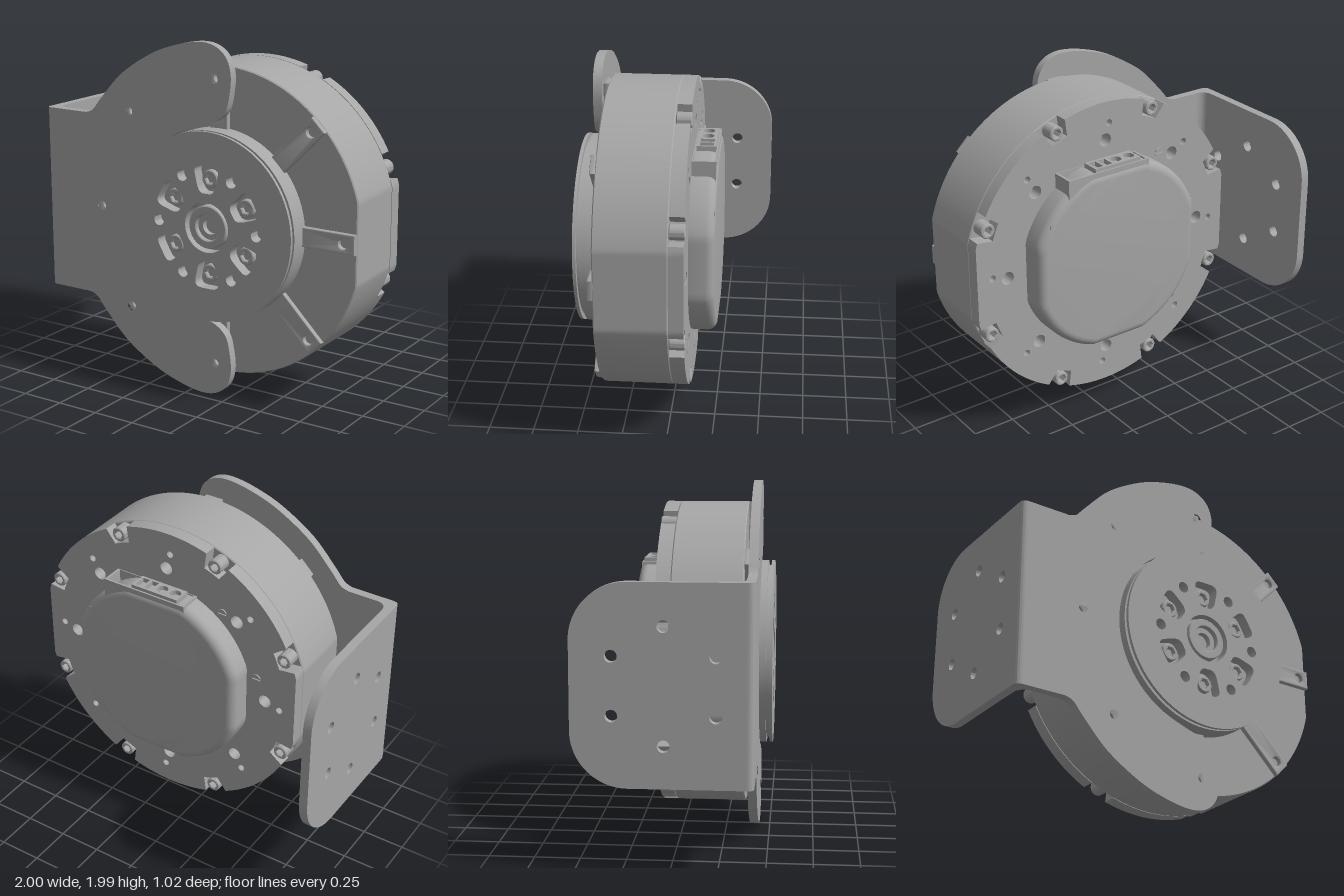
import * as THREE from 'three';
import { toCreasedNormals } from 'three/addons/utils/BufferGeometryUtils.js';

const CX = 0.16, CY = 0.995;
const metal = new THREE.MeshStandardMaterial({ color: 0xa6a6a6 });
metal.name = 'plain grey metal';

const V = (x, y) => new THREE.Vector2(x, y);
const polar = (r, deg) => V(r * Math.cos(deg * Math.PI / 180), r * Math.sin(deg * Math.PI / 180));
const hole = (x, y, r) => new THREE.Path().absarc(x, y, r, 0, Math.PI * 2, true);
const disc = (r, holes = []) => {
  const s = new THREE.Shape().absarc(0, 0, r, 0, Math.PI * 2, false);
  s.holes.push(...holes);
  return s;
};

// Flat part extruded between two z levels, with an optional rounded edge
function slab(shape, z0, z1, bevel = 0, segments = 2) {
  const g = new THREE.ExtrudeGeometry(shape, {
    depth: z1 - z0 - 2 * bevel, curveSegments: 40, bevelEnabled: bevel > 0,
    bevelSize: bevel, bevelThickness: bevel, bevelOffset: -bevel, bevelSegments: segments,
  });
  g.translate(0, 0, z0 + bevel);
  return toCreasedNormals(g, 0.5);
}

function add(parent, name, geometry) {
  const m = new THREE.Mesh(geometry, metal);
  m.name = name;
  parent.add(m);
  return m;
}

// Round outline with flats left and right, and optional rim notches for the bolts
function bodyOutline(notched) {
  const pts = [];
  for (let a = 0; a < 360; a += 1.25) {
    const r = Math.min(0.87, 0.84 / Math.abs(Math.cos(a * Math.PI / 180)));
    const inNotch = notched && Math.abs(((a + 22.5) % 45) - 0) < 4 || notched && 45 - ((a + 22.5) % 45) < 4;
    pts.push(polar(inNotch ? 0.775 : r, a));
  }
  return new THREE.Shape(pts);
}

// Bolt head with a hexagonal socket, facing +z
function bolt(parent, name, r, height) {
  const g = new THREE.Group();
  g.name = name;
  const hex = new THREE.Path([0, 1, 2, 3, 4, 5].map(i => polar(r * 0.55, -i * 60)));
  add(g, 'boltHead', slab(disc(r, [hex]), 0, height, r * 0.12, 1));
  add(g, 'socketFloor', new THREE.CircleGeometry(r * 0.9, 20)).position.z = height * 0.35;
  parent.add(g);
  return g;
}

// Rounded trapezoid pocket around a face bolt
function pocket(deg) {
  const corners = [[0.19, -0.05], [0.345, -0.085], [0.345, 0.085], [0.19, 0.05]].map(([u, v]) => V(u, v));
  const pts = [];
  corners.forEach((c, i) => {
    const a = c.clone().lerp(corners[(i + 3) % 4], 0.32), b = c.clone().lerp(corners[(i + 1) % 4], 0.32);
    pts.push(...new THREE.QuadraticBezierCurve(a, c, b).getPoints(6));
  });
  return new THREE.Path(pts.map(p => p.rotateAround(V(0, 0), deg * Math.PI / 180)));
}

const ribHoleRadius = deg => (deg % 180 === 0 ? 0.77 : 0.805);

function buildMotor() {
  const motor = new THREE.Group();
  motor.name = 'motor';
  motor.position.set(CX, CY, 0);

  // Body drum and notched, drilled back plate
  add(motor, 'bodyDrum', slab(bodyOutline(false), -0.03, 0.362, 0.006, 1));
  const back = bodyOutline(true);
  for (let a = 0; a < 360; a += 45) {
    const p = polar(0.65, a), q = polar(0.745, a + 2);
    back.holes.push(hole(p.x, p.y, 0.038), hole(q.x, q.y, 0.02));
  }
  add(motor, 'backPlate', slab(back, -0.11, -0.03));

  // Rim bolts facing the back
  for (let a = 22.5; a < 360; a += 45) {
    const b = bolt(motor, 'rimBolt', 0.042, 0.085), p = polar(0.825, a);
    b.position.set(p.x, p.y, -0.03);
    b.rotation.y = Math.PI;
  }

  // Small slotted screws beside the rear cap
  for (const a of [127, 167]) {
    const p = polar(0.61, a);
    for (const s of [-1, 1]) {
      const half = new THREE.Shape().absarc(0, 0, 0.026, 0.2, Math.PI - 0.2, false);
      const m = add(motor, 'slottedScrew', slab(half, -0.118, -0.1));
      m.position.set(p.x, p.y, 0);
      m.rotation.z = s > 0 ? 0 : Math.PI;
    }
  }

  // Raised front ribs with mounting holes
  for (let a = 0; a < 360; a += 45) {
    const end = a % 180 === 0 ? 0.838 : 0.866;
    const s = new THREE.Shape([V(0.48, -0.055), V(end, -0.055), V(end, 0.055), V(0.48, 0.055)]);
    s.holes.push(hole(ribHoleRadius(a), 0, 0.028));
    add(motor, 'frontRib', slab(s, 0.35, 0.39, 0.008, 2)).rotation.z = a * Math.PI / 180;
  }

  // Output hub: solid base, then drilled layers with a groove between them
  const holes = () => {
    const list = [hole(0, 0, 0.14)];
    for (let i = 0; i < 6; i++) {
      const p = polar(0.315, i * 60);
      list.push(hole(p.x, p.y, 0.032), pocket(30 + i * 60));
    }
    return list;
  };
  add(motor, 'hubBase', slab(disc(0.53), 0.35, 0.445));
  add(motor, 'hubRing', slab(disc(0.53, holes()), 0.445, 0.476));
  add(motor, 'hubNeck', slab(disc(0.5, holes()), 0.476, 0.494));
  add(motor, 'hubFace', slab(disc(0.53, holes()), 0.494, 0.512));
  for (let i = 0; i < 6; i++) {
    const p = polar(0.265, 30 + i * 60);
    bolt(motor, 'hubBolt', 0.05, 0.035).position.set(p.x, p.y, 0.445);
  }

  // Stepped rings in the hub centre
  add(motor, 'centreRing', slab(disc(0.12, [hole(0, 0, 0.075)]), 0.445, 0.505, 0.005, 1));
  add(motor, 'centreCollar', slab(disc(0.075, [hole(0, 0, 0.045)]), 0.445, 0.478));

  // Rounded rear cap
  const capPts = [];
  for (let a = 0; a < 360; a += 3) {
    const p = polar(0.56, a);
    capPts.push(V(THREE.MathUtils.clamp(p.x, -0.53, 0.53), THREE.MathUtils.clamp(p.y, -0.533, 0.53)));
  }
  add(motor, 'rearCap', slab(new THREE.Shape(capPts), -0.25, -0.03, 0.05, 5));
  const pin = add(motor, 'capPin', new THREE.CylinderGeometry(0.025, 0.025, 0.12, 20));
  pin.rotation.x = Math.PI / 2;
  pin.position.set(0.43, 0.29, -0.185);

  // Cable connector and its surrounding hood on top of the cap
  const upright = (shape, y0, y1) => slab(shape, y0, y1).rotateX(-Math.PI / 2);
  const rect = (C, x0, x1, y0, y1) => new C([V(x0, y0), V(x1, y0), V(x1, y1), V(x0, y1)]);
  const block = rect(THREE.Shape, -0.15, 0.15, 0.125, 0.232);
  block.holes.push(hole(-0.105, 0.178, 0.032), hole(-0.02, 0.178, 0.032),
    rect(THREE.Path, 0.03, 0.075, 0.14, 0.217), rect(THREE.Path, 0.09, 0.135, 0.14, 0.217));
  add(motor, 'connector', upright(block, 0.45, 0.557));
  for (const x of [-0.105, -0.02]) {
    add(motor, 'connectorPin', new THREE.CylinderGeometry(0.016, 0.016, 0.08, 12)).position.set(x, 0.5, -0.178);
  }
  const hood = rect(THREE.Shape, -0.2, 0.33, 0.1, 0.242);
  hood.holes.push(rect(THREE.Path, -0.185, 0.315, 0.115, 0.23));
  add(motor, 'connectorHood', upright(hood, 0.42, 0.537));
  return motor;
}

function buildBracket() {
  const bracket = new THREE.Group();
  bracket.name = 'bracket';

  // Front plate: upper half traced, then mirrored
  const edge = [[-0.71, 1.53], [-0.66, 1.55], [-0.6, 1.62], [-0.45, 1.775], [-0.25, 1.9], [-0.08, 1.963],
    [0.07, 1.99], [0.17, 1.975], [0.24, 1.92], [0.27, 1.83], [0.262, 1.72], [0.235, 1.625], [0.17, 1.57],
    [0.08, 1.54], [-0.025, 1.503]].map(p => V(...p));
  const upper = [V(-0.88, 1.53), ...new THREE.SplineCurve(edge).getPoints(70)];
  for (let a = 114; a < 180; a += 4) upper.push(polar(0.54, a).add(V(CX, CY)));
  const lower = upper.map(p => V(p.x, 2 * CY - p.y)).reverse();
  const plate = new THREE.Shape([...upper, ...lower]);
  for (const a of [90, 135, 180, 225, 270]) {
    const p = polar(ribHoleRadius(a), a);
    plate.holes.push(hole(CX + p.x, CY + p.y, 0.028));
  }
  add(bracket, 'frontPlate', slab(plate, 0.39, 0.44));

  // Rounded bend
  const bend = new THREE.Shape();
  bend.moveTo(-0.88, -0.44);
  bend.lineTo(-0.88, -0.39);
  bend.quadraticCurveTo(-0.95, -0.39, -0.95, -0.32);
  bend.lineTo(-1, -0.32);
  bend.lineTo(-1, -0.4);
  bend.quadraticCurveTo(-1, -0.44, -0.96, -0.44);
  add(bracket, 'bend', slab(bend, 0.46, 1.53).rotateX(-Math.PI / 2));

  // Side plate with rounded rear corners and a ring of six holes
  const side = new THREE.Shape();
  side.moveTo(-0.32, 0.46);
  side.lineTo(0.21, 0.46);
  side.absarc(0.21, 0.76, 0.3, -Math.PI / 2, 0, false);
  side.absarc(0.21, 1.23, 0.3, 0, Math.PI / 2, false);
  side.lineTo(-0.32, 1.53);
  for (let i = 0; i < 6; i++) {
    const p = polar(0.31, 30 + i * 60);
    side.holes.push(hole(0.025 + p.x, CY + p.y, 0.033));
  }
  add(bracket, 'sidePlate', slab(side, -1, -0.95).rotateY(Math.PI / 2));
  return bracket;
}

export function createModel() {
  const model = new THREE.Group();
  model.name = 'motorOnBracket';
  model.add(buildMotor(), buildBracket());
  return model;
}
